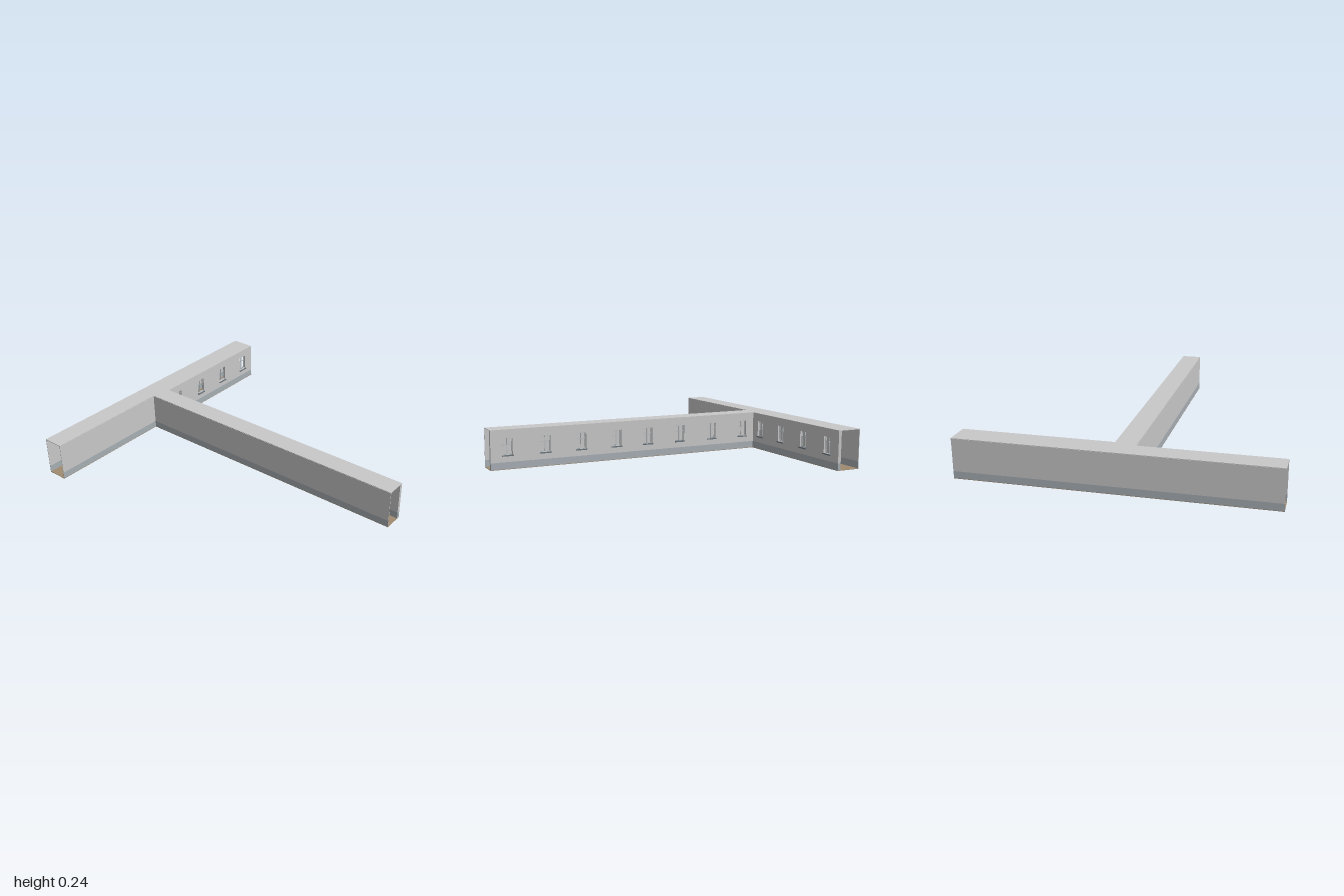
import * as THREE from 'three';

const mat = (name, color) => new THREE.MeshStandardMaterial({ name, color });
const M = {
  wall: mat('wall grey', 0xc8c8c8),
  band: mat('wainscot blue grey', 0xa7afb4),
  floor: mat('floor brown', 0xa08a70),
  sill: mat('sill slate', 0x6c757c),
  frame: mat('window frame', 0xb4babe),
  metal: mat('lamp metal', 0x4a4a4a),
};

const H = 0.243, SLAB = 0.003, BAND = 0.045, THICK = 0.02, THIN = 0.003;
const WIN = { w: 0.064, y0: 0.088, y1: 0.19 };

function part(name, geometry, material, parent, x = 0, y = 0, z = 0) {
  const mesh = new THREE.Mesh(geometry, material);
  mesh.name = name;
  mesh.position.set(x, y, z);
  parent.add(mesh);
  return mesh;
}

// Box given by its minimum and maximum corners
function block(name, material, parent, [x0, y0, z0], [x1, y1, z1]) {
  return part(name, new THREE.BoxGeometry(x1 - x0, y1 - y0, z1 - z0), material, parent,
    (x0 + x1) / 2, (y0 + y1) / 2, (z0 + z1) / 2);
}

// T-shaped slab for floor and roof
function slab(name, material, parent, y) {
  const outline = [[-0.93, -1], [0.925, -1], [0.925, -0.845], [0.02, -0.845],
    [0.02, 1], [-0.105, 1], [-0.105, -0.87], [-0.93, -0.87]];
  const shape = new THREE.Shape(outline.map(([x, z]) => new THREE.Vector2(x, -z)));
  const geo = new THREE.ExtrudeGeometry(shape, { depth: SLAB, bevelEnabled: false });
  geo.rotateX(-Math.PI / 2);
  part(name, geo, material, parent, 0, y, 0);
}

// Thin wall from (x0,z0) to (x1,z1) with wainscot below and a shallow cornice
function thinWall(name, parent, x0, z0, x1, z1) {
  const g = new THREE.Group();
  g.name = name;
  block('wainscot', M.band, g, [x0, SLAB, z0], [x1, BAND, z1]);
  block('upperWall', M.wall, g, [x0, BAND, z0], [x1, H - SLAB, z1]);
  const alongX = x1 - x0 > z1 - z0, e = 0.0015;
  const ex = alongX ? 0 : e, ez = alongX ? e : 0;
  block('cornice', M.wall, g, [x0 - ex, 0.23, z0 - ez], [x1 + ex, H - SLAB, z1 + ez]);
  parent.add(g);
}

// Window: outer frame, glazing bars and a sill through the wall
function addWindow(parent, u) {
  const g = new THREE.Group();
  g.name = 'window';
  g.position.x = u;
  const h = WIN.w / 2, b = 0.004, zA = 0.003, zB = 0.008, mid = 0.15;
  for (const x of [-h, -b / 2, h - b])
    block('verticalBar', M.frame, g, [x, WIN.y0, zA], [x + b, WIN.y1, zB]);
  for (const y of [WIN.y0, mid, WIN.y1 - b])
    block('horizontalBar', M.frame, g, [-h, y, zA + 0.0005], [h, y + b, zB - 0.0005]);
  block('sill', M.sill, g, [-0.036, 0.081, -0.005], [0.036, 0.088, THICK + 0.007]);
  parent.add(g);
}

// Thick wall along local x, outside facing local +z
function windowWall(name, parent, u0, u1, centres) {
  const g = new THREE.Group();
  g.name = name;
  const rect = (Type, a, b, c, d) => new Type([[a, b], [c, b], [c, d], [a, d]]
    .map(([x, y]) => new THREE.Vector2(x, y)));
  const shape = rect(THREE.Shape, u0, BAND, u1, H - SLAB);
  for (const u of centres)
    shape.holes.push(rect(THREE.Path, u - WIN.w / 2, WIN.y0, u + WIN.w / 2, WIN.y1));
  part('upperWall', new THREE.ExtrudeGeometry(shape, { depth: THICK, bevelEnabled: false }), M.wall, g);
  block('wainscot', M.band, g, [u0, SLAB, 0], [u1, BAND, THICK]);
  centres.forEach(u => addWindow(g, u));
  parent.add(g);
  return g;
}

// Hanging lamp with four arms and candles
function addLamp(parent, x, z) {
  const g = new THREE.Group();
  g.name = 'ceilingLamp';
  g.position.set(x, 0, z);
  part('rod', new THREE.CylinderGeometry(0.001, 0.001, 0.045, 6), M.metal, g, 0, 0.2175, 0);
  part('hub', new THREE.SphereGeometry(0.004, 8, 6), M.metal, g, 0, 0.194, 0);
  for (let i = 0; i < 4; i++) {
    const a = i * Math.PI / 2, r = 0.027;
    const arm = part('arm', new THREE.BoxGeometry(r, 0.002, 0.002), M.metal, g,
      Math.cos(a) * r / 2, 0.196, Math.sin(a) * r / 2);
    arm.rotation.y = -a;
    part('candle', new THREE.CylinderGeometry(0.002, 0.002, 0.013, 6), M.frame, g,
      Math.cos(a) * r, 0.2, Math.sin(a) * r);
  }
  parent.add(g);
}

export function createModel() {
  const model = new THREE.Group();
  model.name = 'corridorBuilding';

  slab('floor', M.floor, model, 0);
  slab('roof', M.wall, model, H - SLAB);

  // Plain walls
  thinWall('backWall', model, -0.93, -1, 0.925, -1 + THIN);
  thinWall('rightWingFrontWall', model, -0.93, -0.87 - THIN, -0.105, -0.87);
  thinWall('stemRightWall', model, -0.105, -0.87, -0.105 + THIN, 1);

  // Window walls
  const wing = windowWall('leftWingWindowWall', model, 0, 0.925, [0.11, 0.345, 0.583, 0.82]);
  wing.position.z = -0.865;
  const stem = windowWall('stemWindowWall', model, -1, 0.845,
    [-0.895, -0.655, -0.42, -0.18, 0.04, 0.275, 0.515, 0.755]);
  stem.rotation.y = Math.PI / 2;

  // Lamps along both corridors
  for (const z of [-0.45, 0.03, 0.5]) addLamp(model, -0.06, z);
  for (const x of [-0.5, -0.06, 0.46]) addLamp(model, x, -0.93);

  return model;
}
